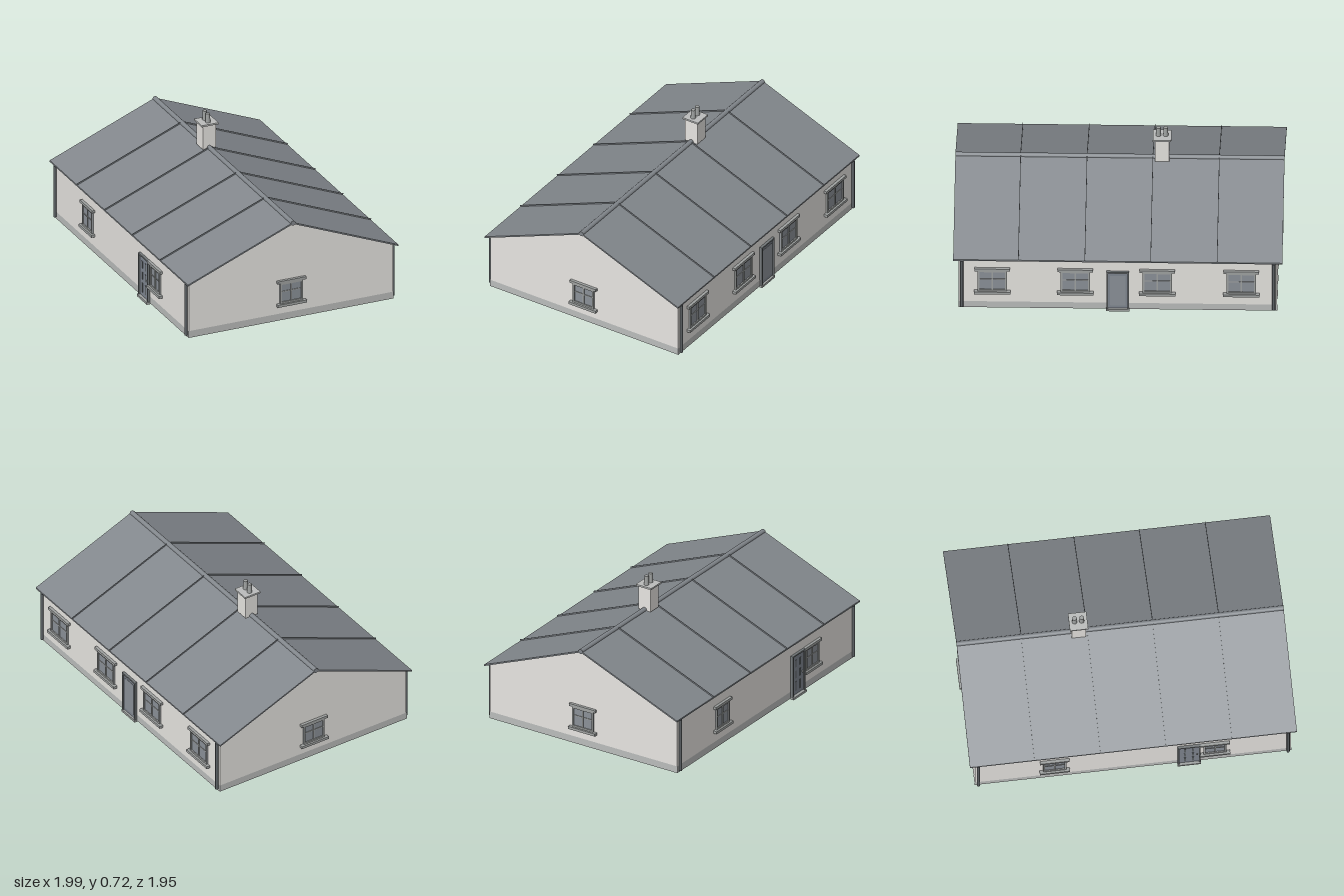
import * as THREE from 'three';

const mat = (name, color, side = THREE.FrontSide) => {
  const m = new THREE.MeshStandardMaterial({ color, side });
  m.name = name;
  return m;
};

export function createModel() {
  const M = {
    render: mat('wall render', 0xe7e5e1, THREE.DoubleSide),
    plinth: mat('plinth grey', 0xbbbdbc),
    slate: mat('roof slate', 0x82878c),
    dark: mat('dark trim', 0x5c6164),
    stone: mat('sill stone', 0xa0a3a2),
    frame: mat('door frame grey', 0x74797b),
    glass: mat('glass', 0x8b9198),
    door: mat('door', 0x7f8690),
  };
  const HX = 0.7925, HZ = 0.56, BASE = 0.005;   // wall half length, half width, foot
  const RX = 0.82, RZ = 0.577, RIDGE = 0.54, EAVE = 0.308;
  const slope = (RIDGE - EAVE) / RZ;
  const roofY = z => RIDGE - slope * Math.abs(z);
  const GAP = 0.001;                            // keeps applied parts clear of the wall face

  const root = new THREE.Group();
  root.name = 'bungalow';
  const house = new THREE.Group();
  house.name = 'house';
  house.rotation.y = -0.729;
  root.add(house);

  const add = (parent, name, geo, material, x = 0, y = 0, z = 0) => {
    const m = new THREE.Mesh(geo, material);
    m.name = name;
    m.position.set(x, y, z);
    parent.add(m);
    return m;
  };
  const box = (p, name, material, w, h, d, x, y, z) =>
    add(p, name, new THREE.BoxGeometry(w, h, d), material, x, y, z);

  // Walls: an open shell with two long sides and two gables
  const wallTop = roofY(HZ) - 0.009, apex = RIDGE - 0.009;
  const gable = new THREE.Shape([
    [-HZ, BASE], [HZ, BASE], [HZ, wallTop], [0, apex], [-HZ, wallTop],
  ].map(p => new THREE.Vector2(...p)));
  for (const s of [1, -1]) {
    const long = add(house, 'longWall', new THREE.PlaneGeometry(2 * HX, wallTop - BASE), M.render,
      0, (wallTop + BASE) / 2, s * HZ);
    if (s < 0) long.rotation.y = Math.PI;
    add(house, 'gableWall', new THREE.ShapeGeometry(gable), M.render, s * HX).rotation.y = s * Math.PI / 2;
    // Plinth band as a flat face on each wall
    const sideBand = add(house, 'plinth', new THREE.PlaneGeometry(2 * (HX + 0.002), 0.037), M.plinth,
      0, BASE + 0.0185, s * (HZ + 0.002));
    if (s < 0) sideBand.rotation.y = Math.PI;
    const endBand = add(house, 'plinth', new THREE.PlaneGeometry(2 * (HZ + 0.002), 0.037), M.plinth,
      s * (HX + 0.002), BASE + 0.0185, 0);
    endBand.rotation.y = s * Math.PI / 2;
  }

  // Roof: one thin chevron slab
  const T = 0.008;
  const chevron = new THREE.Shape([
    [-RZ, EAVE], [-RZ, EAVE - T], [0, RIDGE - T], [RZ, EAVE - T], [RZ, EAVE], [0, RIDGE],
  ].map(p => new THREE.Vector2(...p)));
  const roofGeo = new THREE.ExtrudeGeometry(chevron, { depth: 2 * RX, bevelEnabled: false });
  roofGeo.translate(0, 0, -RX).rotateY(Math.PI / 2);
  add(house, 'roof', roofGeo, M.slate);

  // Upright seams across both slopes
  const pitch = Math.atan(slope), run = RZ / Math.cos(pitch);
  for (const x of [-0.495, -0.164, 0.164, 0.495]) for (const s of [1, -1]) {
    const seam = box(house, 'roofSeam', M.slate, 0.003, 0.012, run, x, roofY(RZ / 2) + 0.001, s * RZ / 2);
    seam.rotation.x = s * pitch;
  }
  const cap = add(house, 'ridgeCap', new THREE.CylinderGeometry(0.013, 0.013, 2 * RX, 12), M.slate, 0, RIDGE - 0.004, 0);
  cap.rotation.z = Math.PI / 2;

  // Chimney
  const chimney = new THREE.Group();
  chimney.name = 'chimney';
  chimney.position.x = -0.21;
  house.add(chimney);
  box(chimney, 'chimneyStack', M.render, 0.072, 0.13, 0.072, 0, 0.597, 0);
  box(chimney, 'chimneyCap', M.plinth, 0.092, 0.009, 0.092, 0, 0.664, 0);
  for (const s of [1, -1])
    add(chimney, 'chimneyPot', new THREE.CylinderGeometry(0.011, 0.013, 0.05, 12), M.stone, s * 0.018, 0.692, 0);

  // Downpipes at the four corners
  for (const x of [-0.777, 0.777]) for (const z of [-1, 1])
    add(house, 'downpipe', new THREE.CylinderGeometry(0.008, 0.008, 0.28, 8), M.dark, x, 0.155, z * (HZ + 0.009));

  // Openings are built facing +z, then turned onto their wall
  const opening = (name, x, z, turn) => {
    const g = new THREE.Group();
    g.name = name;
    g.position.set(x, 0, z);
    g.rotation.y = turn;
    g.translateZ(GAP);
    house.add(g);
    return g;
  };
  const surround = (g, material, w, y0, y1, b, d) => {
    for (const s of [1, -1]) box(g, 'jamb', material, b, y1 - y0, d, s * (w - b) / 2, (y0 + y1) / 2, d / 2);
    box(g, 'head', material, w - 2 * b, b, d, 0, y1 - b / 2, d / 2);
  };
  const windowUnit = (x, z, turn, w, y0, y1) => {
    const g = opening('window', x, z, turn), mid = (y0 + y1) / 2, h = y1 - y0;
    box(g, 'pane', M.glass, w, h, 0.004, 0, mid, 0.002);
    surround(g, M.stone, w, y0, y1, 0.009, 0.01);
    box(g, 'bottomRail', M.stone, w - 0.018, 0.009, 0.01, 0, y0 + 0.0045, 0.005);
    box(g, 'mullion', M.stone, 0.007, h - 0.018, 0.008, 0, mid, 0.004);
    box(g, 'transom', M.stone, w - 0.018, 0.005, 0.007, 0, mid + 0.008, 0.0035);
    box(g, 'lintel', M.stone, w + 0.032, 0.014, 0.015, 0, y1 + 0.007, 0.0075);
    box(g, 'sill', M.stone, w + 0.036, 0.014, 0.02, 0, y0 - 0.007, 0.01);
  };
  for (const x of [-0.394, 0.41]) windowUnit(x, HZ, 0, 0.115, 0.107, 0.225);
  for (const x of [-0.615, -0.197, 0.212, 0.625]) windowUnit(x, -HZ, Math.PI, 0.146, 0.112, 0.236);
  for (const s of [1, -1]) windowUnit(s * HX, 0, s * Math.PI / 2, 0.124, 0.098, 0.21);

  const doorUnit = (x, z, turn, stepDepth) => {
    const g = opening('doorway', x, z, turn);
    box(g, 'doorLeaf', M.door, 0.1, 0.21, 0.007, 0, 0.12, 0.0035);
    surround(g, M.frame, 0.114, 0.012, 0.238, 0.008, 0.014);
    box(g, 'doorStep', M.stone, 0.118, 0.012, stepDepth, 0, 0.006, stepDepth / 2);
    return g;
  };
  const front = doorUnit(0.28, HZ, 0, 0.02);
  for (const x of [-0.02, 0.02]) for (const [y, h] of [[0.06, 0.05], [0.125, 0.04], [0.185, 0.04]])
    box(front, 'doorPanel', M.dark, 0.01, h, 0.002, x, y, 0.008);
  box(front, 'doorHandle', M.stone, 0.006, 0.012, 0.006, 0.04, 0.12, 0.009);
  const back = doorUnit(0, -HZ, Math.PI, 0.016);
  box(back, 'doorPane', M.glass, 0.078, 0.18, 0.002, 0, 0.122, 0.008);

  return root;
}
